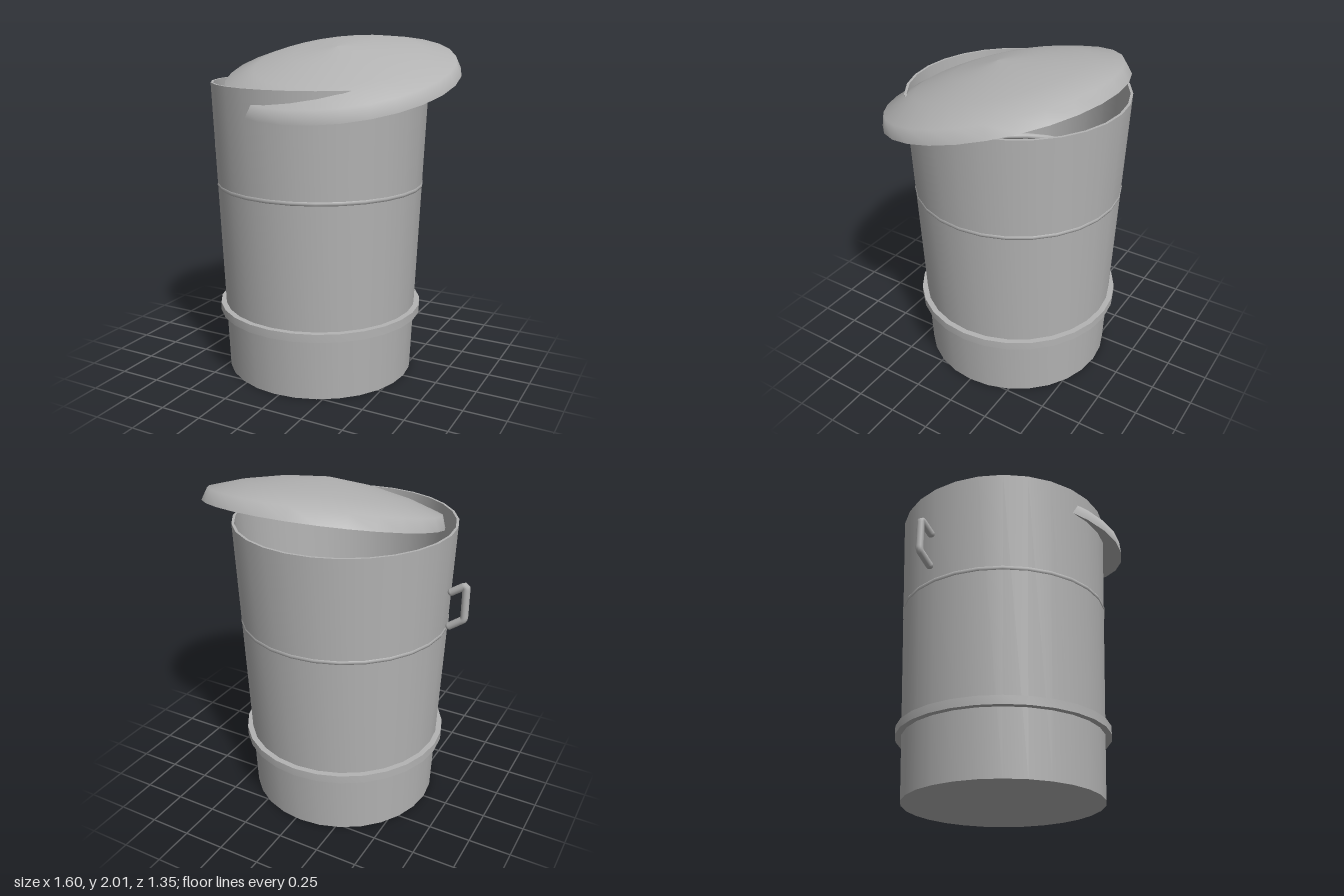
import * as THREE from 'three';
import { toCreasedNormals } from 'three/addons/utils/BufferGeometryUtils.js';

const SIDES = 28;

export function createModel() {
  const model = new THREE.Group();
  model.name = 'trashCan';
  const metal = new THREE.MeshStandardMaterial({ color: 0xb3b3b3 });
  metal.name = 'grey metal';

  const add = (name, geometry, parent = model) => {
    const mesh = new THREE.Mesh(geometry, metal);
    mesh.name = name;
    parent.add(mesh);
    return mesh;
  };
  const lathe = (points) =>
    new THREE.LatheGeometry(points.map(([r, y]) => new THREE.Vector2(r, y)), SIDES);

  const can = new THREE.Group();
  can.name = 'can';
  can.position.x = -0.03;
  model.add(can);

  // Tapered, thin-walled bucket, open at the top
  add('body', toCreasedNormals(lathe([
    [0, 0], [0.57, 0], [0.64, 1.76], [0.625, 1.76], [0.556, 0.015], [0, 0.015],
  ]), 0.7), can);

  // Flat band around the lower part
  add('lowerBand', toCreasedNormals(lathe([
    [0.575, 0.368], [0.62, 0.368], [0.62, 0.417], [0.575, 0.417],
  ]), 0.7), can);

  // Round hoop, mostly inside the wall
  const hoop = add('middleHoop', new THREE.TorusGeometry(0.6, 0.02, 10, SIDES), can);
  hoop.rotation.x = Math.PI / 2;
  hoop.position.y = 1.16;

  // Bent rod handle with rounded ends
  const path = new THREE.CurvePath();
  const points = [
    [-0.692, 1.44], [-0.755, 1.482], [-0.775, 1.47], [-0.775, 1.31], [-0.765, 1.285], [-0.692, 1.232],
  ].map(([x, y]) => new THREE.Vector3(x, y, 0));
  const [a, b, c, d, e, f] = points;
  path.add(new THREE.LineCurve3(a, b));
  path.add(new THREE.QuadraticBezierCurve3(b, new THREE.Vector3(-0.775, 1.497, 0), c));
  path.add(new THREE.LineCurve3(c, d));
  path.add(new THREE.QuadraticBezierCurve3(d, new THREE.Vector3(-0.775, 1.293, 0), e));
  path.add(new THREE.LineCurve3(e, f));
  add('handle', new THREE.TubeGeometry(path, 48, 0.022, 12));
  for (const end of [a, f]) {
    add('handleEnd', new THREE.SphereGeometry(0.022, 12, 8)).position.copy(end);
  }

  // Domed lid, slipped sideways and tilted toward the front
  const lid = new THREE.Group();
  lid.name = 'lid';
  lid.position.set(0.105, 1.765, 0);
  lid.rotation.x = THREE.MathUtils.degToRad(14.6);
  model.add(lid);
  add('lidDome', lathe([
    [0.695, 0], [0.67, 0.072], [0.49, 0.13], [0.26, 0.178], [0, 0.204],
  ]), lid);
  add('lidUnderside', new THREE.CircleGeometry(0.695, SIDES), lid).rotation.x = Math.PI / 2;

  return model;
}
